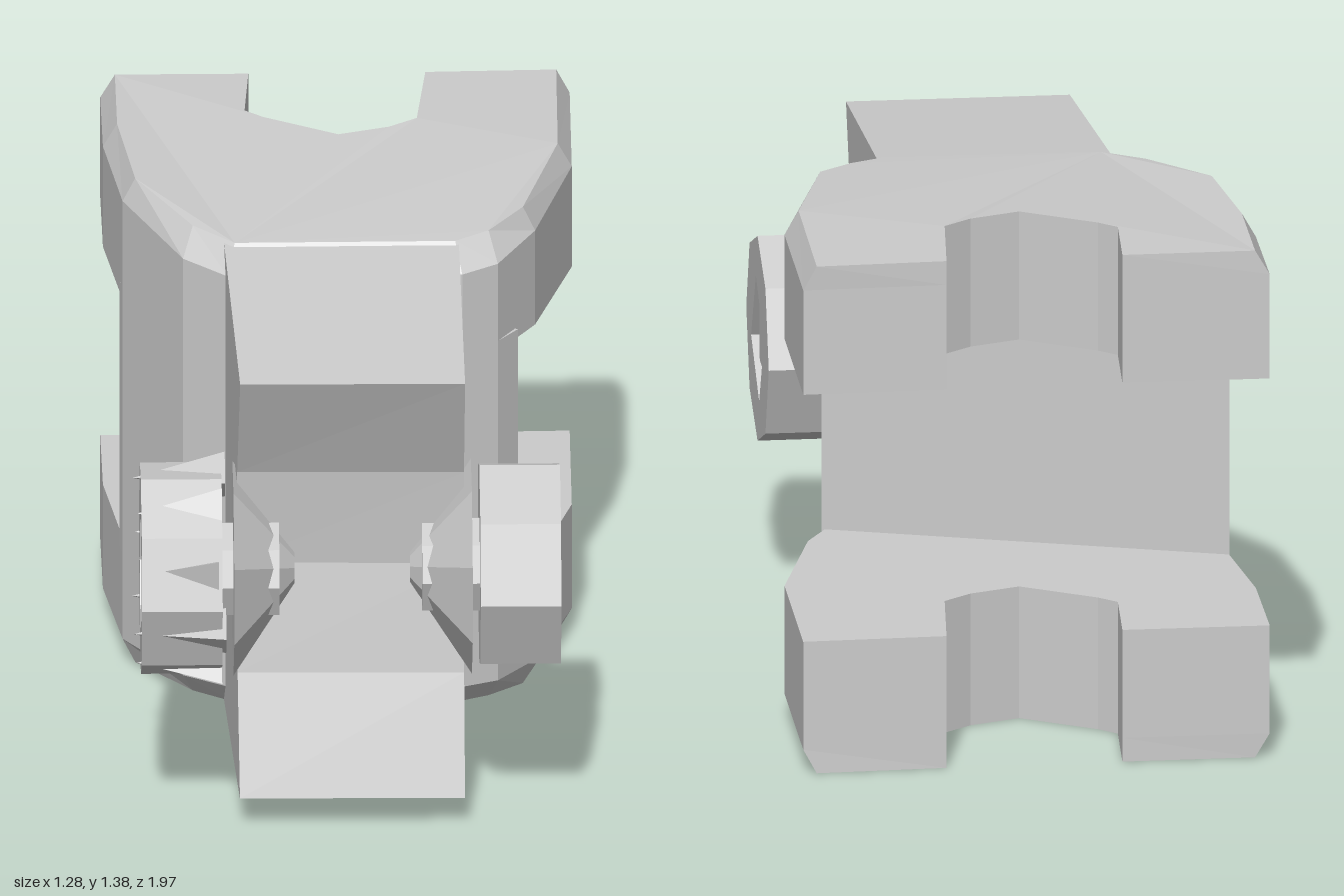
import * as THREE from 'three';

const material = new THREE.MeshStandardMaterial({ color: 0xcccccc, flatShading: true });

function add(parent, name, geometry) {
  const g = geometry.index ? geometry.toNonIndexed() : geometry;
  g.computeVertexNormals();
  const mesh = new THREE.Mesh(g, material);
  mesh.name = name;
  parent.add(mesh);
  return mesh;
}

// Extrude a plan outline of [x, z] points upward; y runs 0..1
function extrudePlan(points, steps) {
  const shape = new THREE.Shape(points.map(([x, z]) => new THREE.Vector2(x, -z)));
  return new THREE.ExtrudeGeometry(shape, { depth: 1, steps, bevelEnabled: false }).rotateX(-Math.PI / 2);
}

function moveVertices(geometry, rule) {
  const p = geometry.attributes.position;
  const v = new THREE.Vector3();
  for (let i = 0; i < p.count; i++) {
    rule(v.fromBufferAttribute(p, i));
    p.setXYZ(i, v.x, v.y, v.z);
  }
  return geometry;
}

function polygon(sides, radius, turn = 0) {
  return Array.from({ length: sides }, (_, i) => {
    const a = turn + (i / sides) * Math.PI * 2;
    return new THREE.Vector2(Math.cos(a) * radius, Math.sin(a) * radius);
  });
}

// Forked plate with its outer rim chamfered
function forkPlate(upper) {
  const outline = [
    [-0.635, -0.9], [-0.615, -0.58], [-0.55, -0.24], [-0.38, 0.06], [-0.26, 0.15],
    [0.35, 0.12], [0.44, 0.06], [0.53, -0.12], [0.61, -0.5], [0.585, -0.98],
    [0.21, -0.95], [0.2, -0.65], [0.13, -0.59], [0, -0.535], [-0.2, -0.64],
    [-0.25, -0.68], [-0.25, -0.92],
  ];
  return moveVertices(extrudePlan(outline, 2), (v) => {
    const level = Math.round((upper ? v.y : 1 - v.y) * 2); // 0 inner face, 2 outer face
    const slope = Math.max(0, v.z + 0.3) * 0.1;
    const height = [1.04, 1.325 - slope, 1.39 - slope * 0.9][level];
    if (level === 2) {
      if (Math.abs(v.x) > 0.255) v.x *= 0.94;
      if (v.z > 0) v.z -= 0.06;
    }
    v.y = upper ? height : 1.395 - height;
    if (!upper && level === 0) v.y = 0.365;
  });
}

// Bolt head: faceted ring, sunken floor and a plug in the socket. Local +z points outward.
function boltHead(name, side, sides, socketSides, socketRadius, depth) {
  const bolt = new THREE.Group();
  bolt.name = name;
  const ring = new THREE.Shape(polygon(sides, 0.28));
  ring.holes.push(new THREE.Path(polygon(socketSides, socketRadius, 0.25).reverse()));
  add(bolt, 'boltRim', new THREE.ExtrudeGeometry(ring, { depth, bevelEnabled: false }));
  const disc = (r, n, z0, z1) =>
    new THREE.CylinderGeometry(r, r, z1 - z0, n).rotateX(Math.PI / 2).translate(0, 0, (z0 + z1) / 2);
  add(bolt, 'socketFloor', disc(0.24, 8, 0, depth - 0.06));
  const plug = new THREE.CylinderGeometry(0.125, 0.125, 0.05, socketSides);
  if (socketSides === 4) plug.rotateY(Math.PI / 4);
  add(bolt, 'socketPlug', plug.rotateX(Math.PI / 2).translate(0, 0, depth - 0.04));
  add(bolt, 'axle', disc(0.13, 8, -0.15, 0.02));
  bolt.rotation.y = (side * Math.PI) / 2 + 0.055;
  return bolt;
}

export function createModel() {
  const model = new THREE.Group();
  model.name = 'forkedClamp';

  add(model, 'upperFork', forkPlate(true));
  add(model, 'lowerFork', forkPlate(false));

  // Web joining the two forks, with a slanted back
  const web = extrudePlan([
    [-0.56, -0.29], [-0.55, -0.24], [-0.38, 0.06], [-0.26, 0.15],
    [0.35, 0.12], [0.44, 0.06], [0.49, -0.02],
  ], 1);
  add(model, 'web', web.scale(1, 0.75, 1).translate(0, 0.32, 0));

  // Front block with a hollowed nose, slightly tapered in plan
  const profile = [[0, 0.04], [0.82, 0.09], [0.71, 0.4], [0.66, 0.69], [0.69, 0.96], [0.83, 1.27], [0, 1.35]];
  const side = new THREE.Shape(profile.map(([z, y]) => new THREE.Vector2(-z, y)));
  const block = new THREE.ExtrudeGeometry(side, { depth: 1, bevelEnabled: false }).rotateY(Math.PI / 2);
  moveVertices(block, (v) => {
    const t = v.z / 0.83;
    const right = v.x > 0.5;
    v.x = right ? 0.335 + 0.05 * t : -0.28 + 0.08 * t;
    if (right) v.z *= 0.965;
  });
  add(model, 'frontBlock', block);

  // Conical collars flaring out of the nose toward each bolt
  for (const s of [-1, 1]) {
    const collar = new THREE.CylinderGeometry(0.28, 0.04, 0.16, 8).rotateY(Math.PI / 8);
    collar.rotateZ((-s * Math.PI) / 2);
    const mesh = add(model, s < 0 ? 'rightCollar' : 'leftCollar', collar);
    mesh.position.set(s < 0 ? -0.145 : 0.315, 0.685, s < 0 ? 0.68 : 0.65);
    mesh.rotation.y = 0.055;
  }

  const leftBolt = boltHead('leftBolt', 1, 8, 4, 0.165, 0.21);
  leftBolt.position.set(0.415, 0.685, 0.63);
  model.add(leftBolt);

  const rightBolt = boltHead('rightBolt', -1, 9, 8, 0.16, 0.21);
  rightBolt.position.set(-0.255, 0.685, 0.69);
  model.add(rightBolt);

  // Jagged teeth around the right bolt
  for (let i = 0; i < 9; i++) {
    const a = ((i + 0.5) / 9) * Math.PI * 2;
    const tooth = new THREE.ConeGeometry(0.07, 0.2 + 0.02 * (i % 3), 3).rotateX(Math.PI / 2);
    const mesh = add(rightBolt, 'tooth', tooth);
    mesh.position.set(Math.cos(a) * 0.245, Math.sin(a) * 0.245, 0.11);
    mesh.rotation.z = a;
  }
  return model;
}
